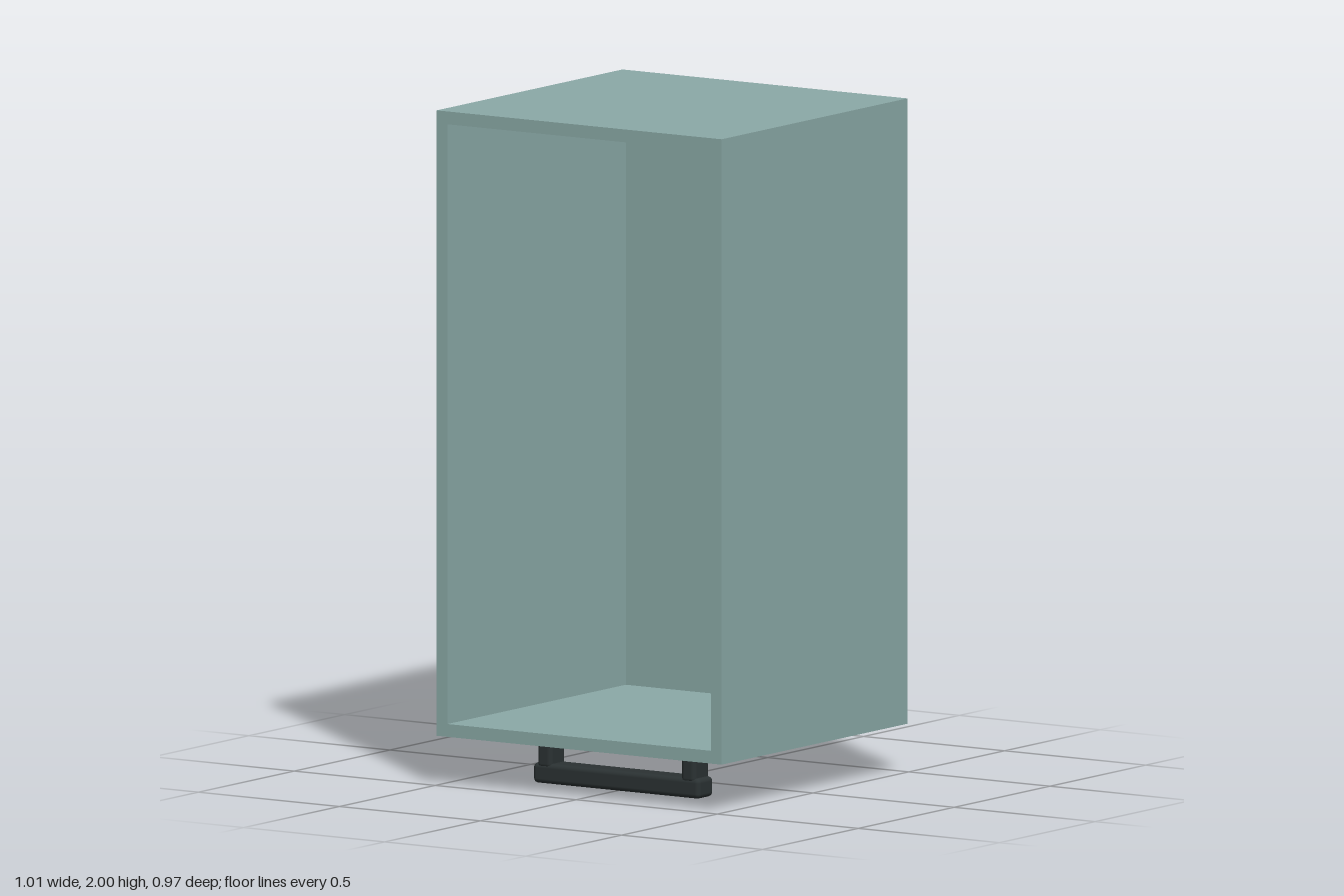
import * as THREE from 'three';
import { RoundedBoxGeometry } from 'three/addons/geometries/RoundedBoxGeometry.js';

export function createModel() {
  const model = new THREE.Group();
  model.name = 'openCabinet';
  const shellMat = new THREE.MeshStandardMaterial({ color: 0x8baaa7 });
  const handleMat = new THREE.MeshStandardMaterial({ color: 0x2b3233 });

  function add(parent, name, geometry, material, x, y, z) {
    const mesh = new THREE.Mesh(geometry, material);
    mesh.name = name;
    mesh.position.set(x, y, z);
    parent.add(mesh);
  }

  // Cabinet shell: open at the front, full-size back, side panels framing top and floor
  const W = 1.01, D = 0.97, T = 0.038, y0 = 0.145, y1 = 2;
  const H = y1 - y0, midY = (y0 + y1) / 2;
  const panel = (name, w, h, d, x, y, z) =>
    add(model, name, new THREE.BoxGeometry(w, h, d), shellMat, x, y, z);

  panel('backPanel', W, H, T, 0, midY, -D / 2 + T / 2);
  for (const [name, s] of [['left', 1], ['right', -1]]) {
    panel(name + 'SidePanel', T, H, D - T, s * (W - T) / 2, midY, T / 2);
  }
  panel('topPanel', W - 2 * T, T, D - T, 0, y1 - T / 2, T / 2);
  panel('floorPanel', W - 2 * T, T, D - T, 0, y0 + T / 2, T / 2);

  // Pull handle under the floor: rounded grip on two posts
  const handle = new THREE.Group();
  handle.name = 'handle';
  handle.position.z = 0.255;
  add(handle, 'handleGrip', new RoundedBoxGeometry(0.59, 0.06, 0.08, 3, 0.014), handleMat, 0, 0.03, 0);
  for (const [name, s] of [['left', 1], ['right', -1]]) {
    add(handle, name + 'HandlePost', new RoundedBoxGeometry(0.05, 0.1, 0.08, 3, 0.014), handleMat, s * 0.255, 0.095, 0);
  }
  model.add(handle);

  return model;
}
